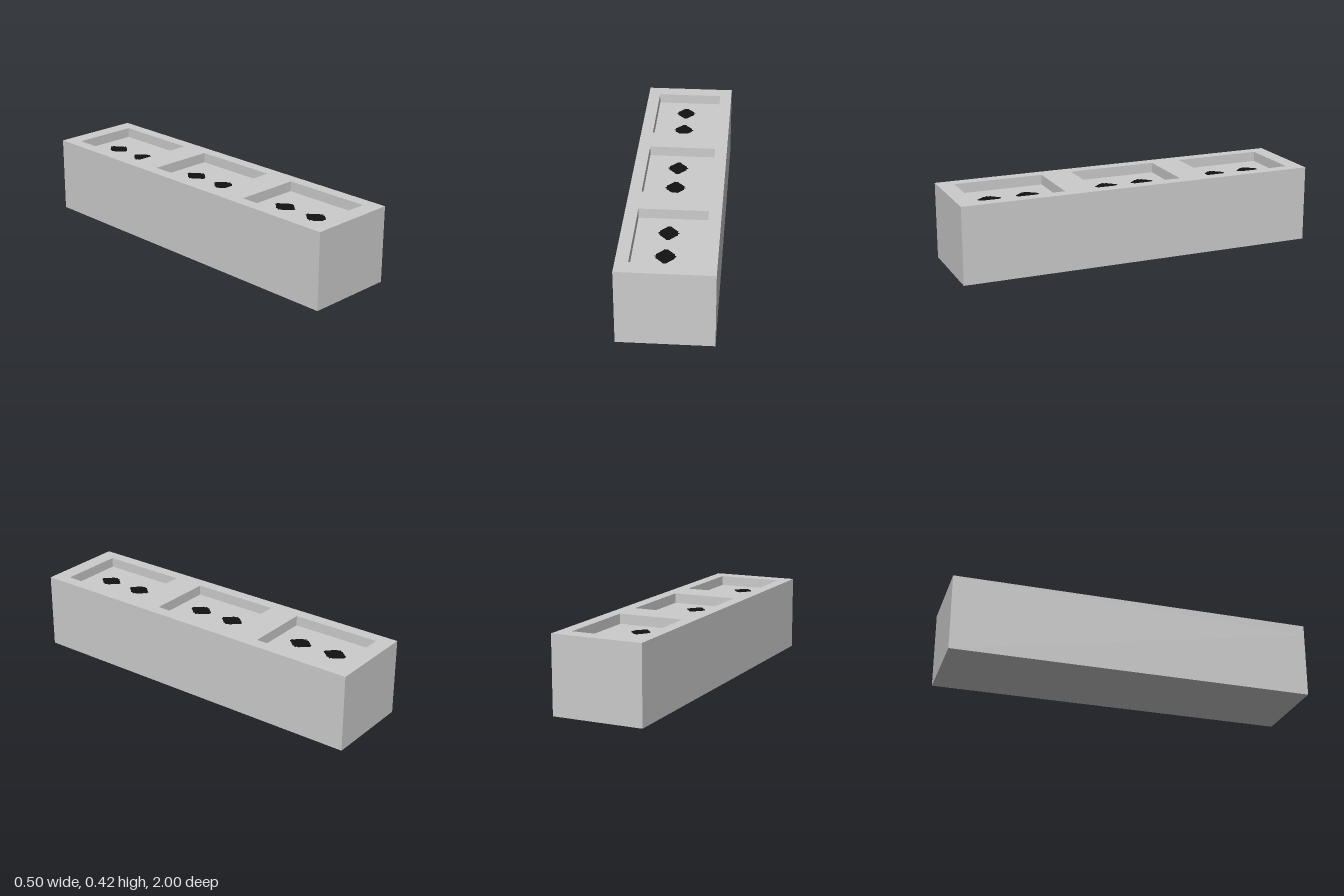
import * as THREE from 'three';

const W = 0.5, H = 0.42, L = 2;
const FLOOR = 0.365;              // height of the recess floors
const PW = 0.366, PL = 0.494;     // recess width and length
const CENTRES = [-0.666, -0.003, 0.664];

const rect = (Type, w, l, z = 0) => new Type([
  new THREE.Vector2(-w / 2, -z - l / 2), new THREE.Vector2(w / 2, -z - l / 2),
  new THREE.Vector2(w / 2, -z + l / 2), new THREE.Vector2(-w / 2, -z + l / 2),
]);

// One quarter of the stepped diamond, mirrored into all four
function spotShape() {
  const q = [[0.055, 0.004], [0.047, 0.006], [0.047, 0.02], [0.036, 0.03],
    [0.026, 0.042], [0.018, 0.05], [0.009, 0.063]];
  const r = [...q].reverse();
  return new THREE.Shape([
    ...q.map(([x, y]) => new THREE.Vector2(x, y)),
    ...r.map(([x, y]) => new THREE.Vector2(-x, y)),
    ...q.map(([x, y]) => new THREE.Vector2(-x, -y)),
    ...r.map(([x, y]) => new THREE.Vector2(x, -y)),
  ]);
}

export function createModel() {
  const group = new THREE.Group();
  const grey = new THREE.MeshStandardMaterial({ color: 0xcccccc });
  grey.name = 'light grey';
  const black = new THREE.MeshStandardMaterial({ color: 0x111111 });
  black.name = 'black';

  const add = (name, geometry, material, x, y, z) => {
    const mesh = new THREE.Mesh(geometry, material);
    mesh.name = name;
    mesh.position.set(x, y, z);
    group.add(mesh);
  };

  // Solid block up to the recess floors
  add('body', new THREE.BoxGeometry(W, FLOOR, L), grey, 0, FLOOR / 2, 0);

  // Top frame with three rectangular openings
  const frame = rect(THREE.Shape, W, L);
  CENTRES.forEach((z) => frame.holes.push(rect(THREE.Path, PW, PL, z)));
  const frameGeo = new THREE.ExtrudeGeometry(frame, { depth: H - FLOOR, bevelEnabled: false });
  frameGeo.rotateX(-Math.PI / 2);
  add('topFrame', frameGeo, grey, 0, FLOOR, 0);

  // Two dark spots on each recess floor
  const spotGeo = new THREE.ShapeGeometry(spotShape());
  spotGeo.rotateX(-Math.PI / 2);
  CENTRES.forEach((z) => [-0.106, 0.106].forEach((dz) =>
    add('floorSpot', spotGeo, black, -0.014, FLOOR + 0.002, z + dz)));

  return group;
}
